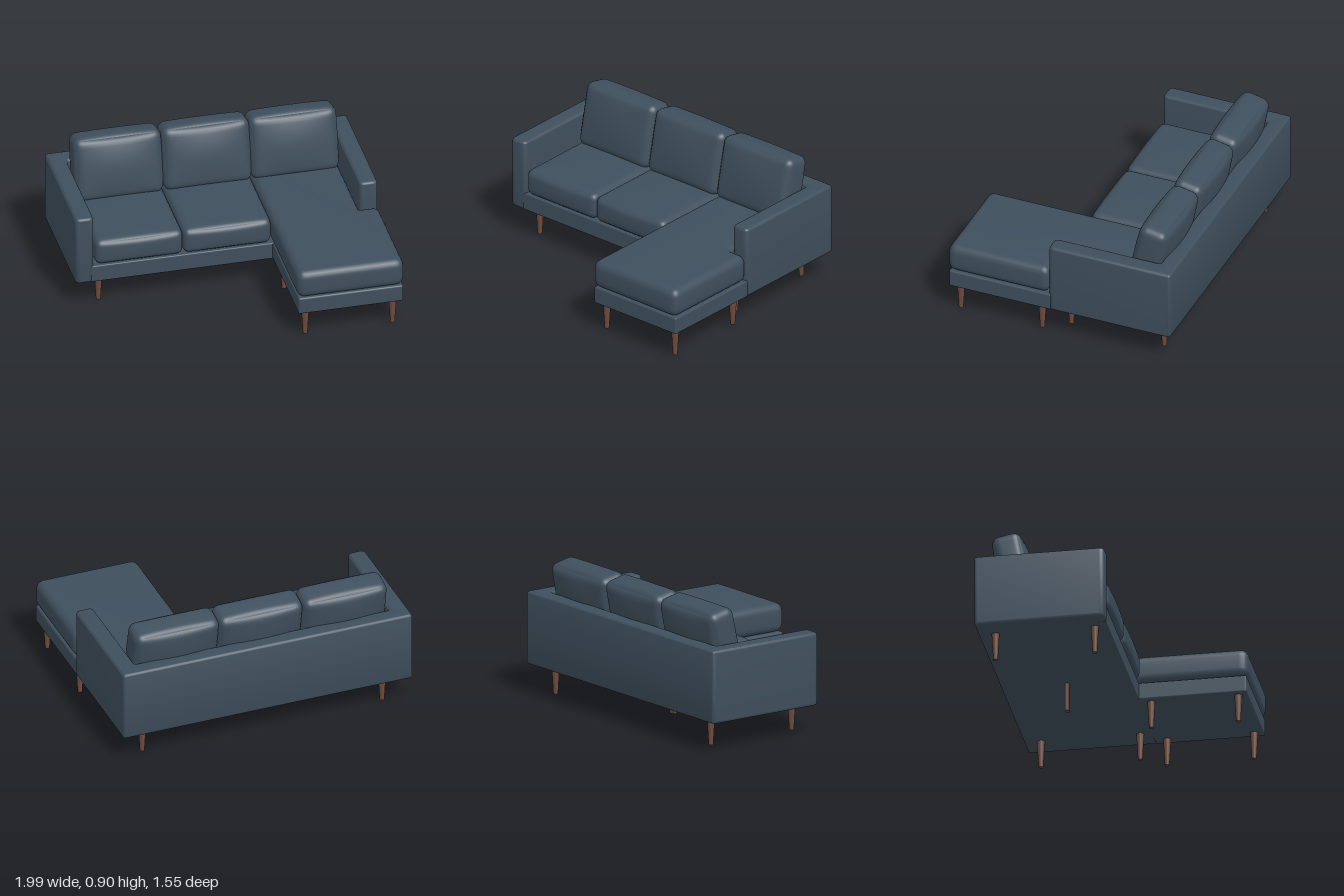
import * as THREE from 'three';
import { mergeVertices, toCreasedNormals } from 'three/addons/utils/BufferGeometryUtils.js';
import { RoundedBoxGeometry } from 'three/addons/geometries/RoundedBoxGeometry.js';

const fabric = new THREE.MeshStandardMaterial({ color: 0x3f4f5d });
fabric.name = 'slate fabric';
const wood = new THREE.MeshStandardMaterial({ color: 0x6e4a3c });
wood.name = 'brown wood';

function add(parent, name, geometry, material, x = 0, y = 0, z = 0) {
  const mesh = new THREE.Mesh(geometry, material);
  mesh.name = name;
  mesh.position.set(x, y, z);
  parent.add(mesh);
  return mesh;
}

// Soft box: rounded edges plus a bulge (crown) on each pair of faces
function cushionGeometry(w, h, d, r, crown) {
  const g = new THREE.BoxGeometry(2, 2, 2, 24, 24, 24);
  g.deleteAttribute('normal');
  g.deleteAttribute('uv');
  const half = new THREE.Vector3(w / 2, h / 2, d / 2);
  const inner = half.clone().subScalar(r);
  const p = new THREE.Vector3(), c = new THREE.Vector3(), u = new THREE.Vector3();
  const pos = g.attributes.position;
  const spread = (t) => Math.sin((t * Math.PI) / 2); // more rows near the edges
  for (let i = 0; i < pos.count; i++) {
    u.fromBufferAttribute(pos, i);
    u.set(spread(u.x), spread(u.y), spread(u.z));
    p.copy(u).multiply(half);
    c.copy(p).clamp(inner.clone().negate(), inner);
    p.sub(c).setLength(r).add(c);
    const fx = 1 - u.x ** 2, fy = 1 - u.y ** 2, fz = 1 - u.z ** 2;
    p.x += crown[0] * u.x * fy * fz;
    p.y += crown[1] * u.y * fx * fz;
    p.z += crown[2] * u.z * fx * fy;
    pos.setXYZ(i, p.x, p.y, p.z);
  }
  const merged = mergeVertices(g, 1e-5);
  merged.computeVertexNormals();
  return merged;
}

// Floor-plan outline [x, z, cornerRadius] extruded from y0 to y1 with rounded rims
function planGeometry(points, y0, y1, bevelSize, bevelThickness) {
  const shape = new THREE.Shape();
  const n = points.length;
  const v = points.map(([x, z]) => new THREE.Vector2(x, -z));
  points.forEach((pt, i) => {
    const r = pt[2], prev = v[(i + n - 1) % n], next = v[(i + 1) % n];
    const a = v[i].clone().add(prev.clone().sub(v[i]).setLength(r));
    const b = v[i].clone().add(next.clone().sub(v[i]).setLength(r));
    if (i === 0) shape.moveTo(a.x, a.y);
    else shape.lineTo(a.x, a.y);
    shape.quadraticCurveTo(v[i].x, v[i].y, b.x, b.y);
  });
  shape.closePath();
  const g = new THREE.ExtrudeGeometry(shape, {
    depth: y1 - y0 - 2 * bevelThickness, curveSegments: 6,
    bevelEnabled: true, bevelSize, bevelThickness, bevelOffset: -bevelSize, bevelSegments: 6,
  });
  g.rotateX(-Math.PI / 2);
  g.translate(0, y0 + bevelThickness, 0);
  return toCreasedNormals(g, 0.6);
}

export function createModel() {
  const sofa = new THREE.Group();
  sofa.name = 'sectionalSofa';

  // Back and both arms as one U-shaped shell
  add(sofa, 'backAndArms', planGeometry([
    [-1, 0.07, 0.035], [-0.88, 0.07, 0.035], [-0.88, -0.66, 0.025], [0.87, -0.66, 0.025],
    [0.87, 0.07, 0.035], [0.99, 0.07, 0.035], [0.99, -0.775, 0.022], [-1, -0.775, 0.022],
  ], 0.19, 0.672, 0.02, 0.02), fabric);

  // Seat base and chaise base
  add(sofa, 'seatBase', new RoundedBoxGeometry(1.8, 0.117, 0.78, 3, 0.008), fabric, 0, 0.2485, -0.325);
  add(sofa, 'chaiseBase', new RoundedBoxGeometry(0.69, 0.117, 0.71, 3, 0.012), fabric, 0.643, 0.2485, 0.407);

  // Two seat cushions
  const seat = cushionGeometry(0.58, 0.178, 0.73, 0.045, [0, 0.012, 0.012]);
  [-0.58, 0].forEach((x, i) => add(sofa, 'seatCushion' + (i + 1), seat, fabric, x, 0.4, -0.29));

  // L-shaped chaise cushion wrapping past the arm
  add(sofa, 'chaiseCushion', planGeometry([
    [0.29, 0.772, 0.06], [0.993, 0.772, 0.06], [0.993, 0.072, 0.05],
    [0.868, 0.072, 0.01], [0.868, -0.65, 0.04], [0.29, -0.65, 0.04],
  ], 0.307, 0.497, 0.05, 0.055), fabric);

  // Three reclined back cushions
  const back = cushionGeometry(0.575, 0.43, 0.19, 0.05, [0.006, 0.008, 0.032]);
  [-0.58, 0, 0.575].forEach((x, i) => {
    const m = add(sofa, 'backCushion' + (i + 1), back, fabric, x, 0.672, -0.557);
    m.rotation.x = -0.21;
  });

  // Tapered legs under the sofa and the chaise
  const leg = new THREE.CylinderGeometry(0.026, 0.015, 0.19, 20);
  const legSpots = [
    [-0.83, -0.02], [-0.83, -0.665], [0.82, -0.02], [0.82, -0.665],
    [0.355, 0.7], [0.93, 0.7], [0.355, 0.135], [0.93, 0.135],
  ];
  legSpots.forEach(([x, z], i) => add(sofa, 'leg' + (i + 1), leg, wood, x, 0.104, z));

  // Straight centre support
  add(sofa, 'centreLeg', new THREE.BoxGeometry(0.04, 0.195, 0.028), wood, -0.005, 0.0975, -0.345);

  return sofa;
}
